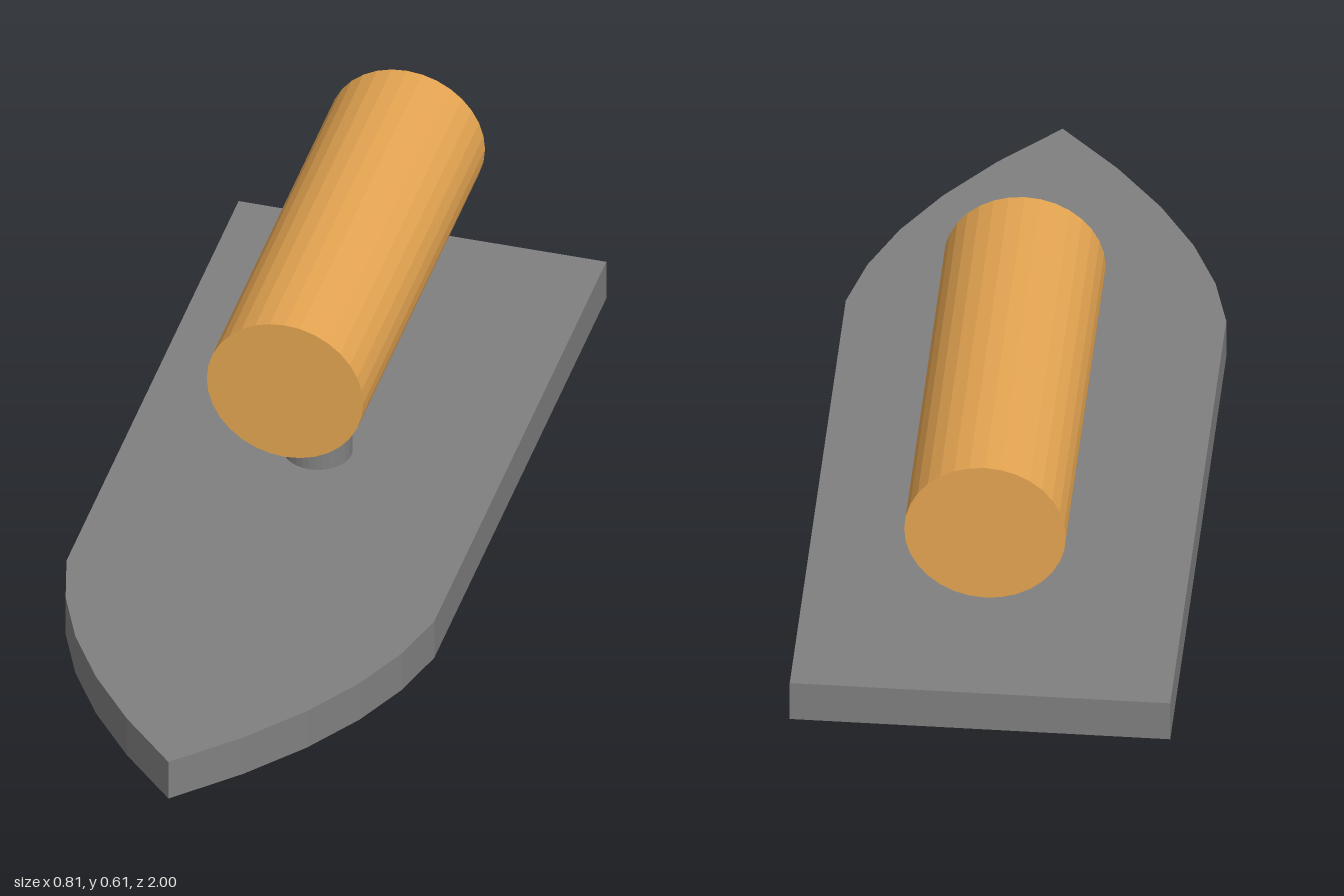
import * as THREE from 'three';

const grey = new THREE.MeshStandardMaterial({ color: 0x808080, flatShading: true });
const orange = new THREE.MeshStandardMaterial({ color: 0xe6a652, flatShading: true });

function addPart(group, name, geometry, material) {
  const mesh = new THREE.Mesh(geometry, material);
  mesh.name = name;
  group.add(mesh);
  return mesh;
}

export function createModel() {
  const model = new THREE.Group();
  model.name = 'toyBoat';

  // Hull: square stern, straight sides and a curved pointed bow (outline y becomes z)
  const w = 0.407, thickness = 0.096;
  const outline = new THREE.Shape();
  outline.moveTo(-w, -1);
  outline.lineTo(w, -1);
  outline.lineTo(w, 0.355);
  outline.quadraticCurveTo(0.35, 0.68, 0, 1);
  outline.quadraticCurveTo(-0.35, 0.68, -w, 0.355);
  const hull = new THREE.ExtrudeGeometry(outline, { depth: thickness, bevelEnabled: false, curveSegments: 5 });
  hull.rotateX(Math.PI / 2).translate(0, thickness, 0);
  addPart(model, 'hull', hull, grey);

  // Post: rises from the deck into the underside of the barrel
  const postTop = 0.3;
  const post = addPart(model, 'post', new THREE.CylinderGeometry(0.074, 0.074, postTop - thickness, 32), grey);
  post.position.set(0, (postTop + thickness) / 2, -0.178);

  // Barrel: closed cylinder lying along the hull
  const barrel = addPart(model, 'barrel', new THREE.CylinderGeometry(0.173, 0.173, 0.96, 32), orange);
  barrel.rotation.x = Math.PI / 2;
  barrel.position.set(0, 0.432, -0.397);

  return model;
}
